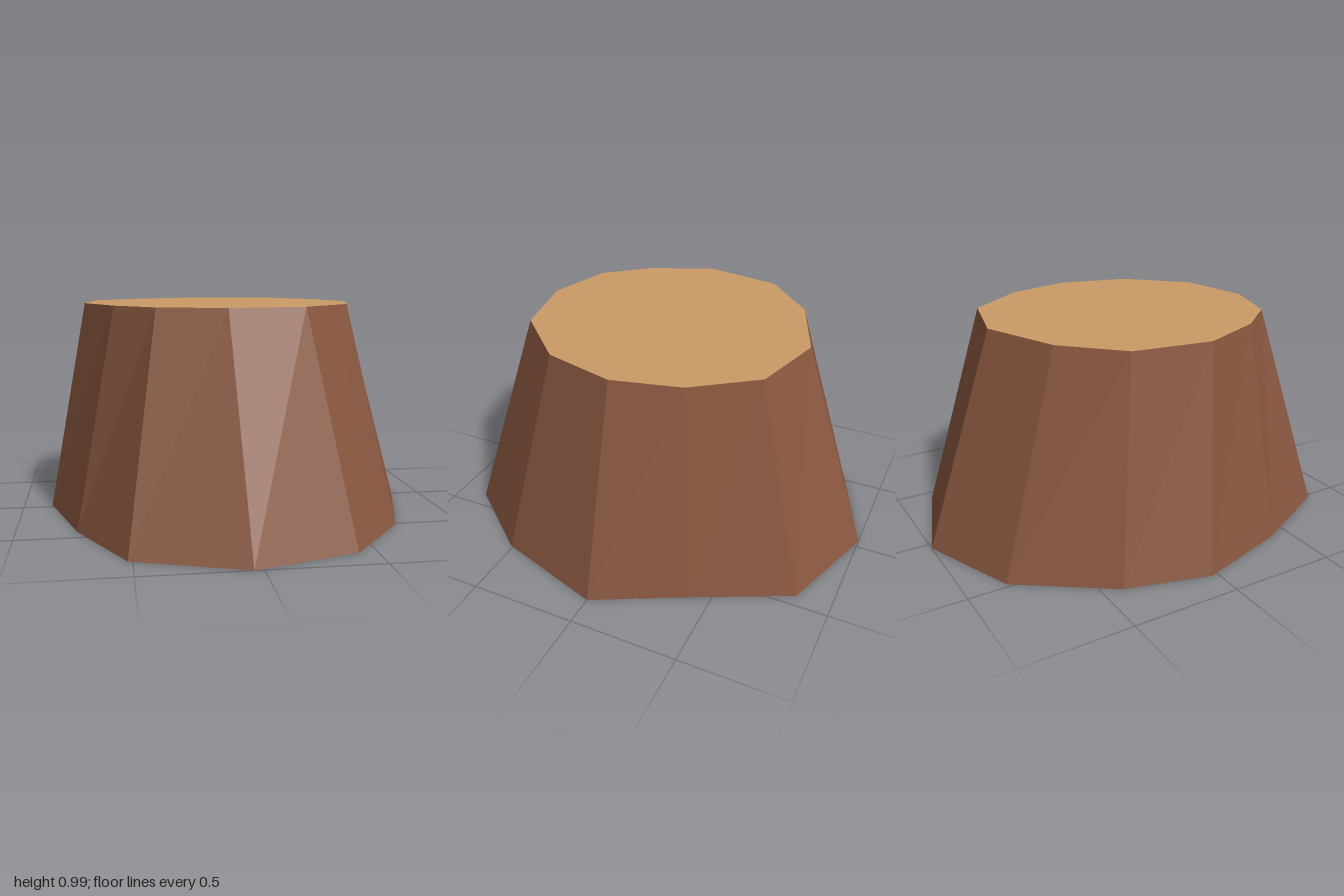
import * as THREE from 'three';

const HEIGHT = 0.99;

// Matching [x, z] corners of the lower and upper rims, from the back round by +x
const lowerRim = [
  [-0.04, -1], [0.44, -0.84], [0.65, -0.41], [0.86, 0], [0.7, 0.51], [0.42, 0.86],
  [-0.04, 1], [-0.52, 0.83], [-0.73, 0.42], [-0.865, -0.03], [-0.76, -0.41], [-0.48, -0.82],
];
const upperRim = [
  [-0.04, -0.67], [0.31, -0.58], [0.51, -0.31], [0.585, 0], [0.5, 0.33], [0.25, 0.59],
  [-0.09, 0.655], [-0.38, 0.56], [-0.55, 0.36], [-0.68, 0.06], [-0.63, -0.3], [-0.4, -0.53],
];

const bark = new THREE.MeshStandardMaterial({ color: 0x8a5840 });
bark.name = 'bark brown';
const wood = new THREE.MeshStandardMaterial({ color: 0xcb9a66 });
wood.name = 'cut wood tan';

// Unindexed triangles give flat facets
function makeMesh(name, points, material) {
  const geometry = new THREE.BufferGeometry().setFromPoints(points);
  geometry.computeVertexNormals();
  const mesh = new THREE.Mesh(geometry, material);
  mesh.name = name;
  return mesh;
}

// Fan over a run of rim corners, facing up or down
function makeCap(name, corners, up, material) {
  const points = [];
  for (let i = 1; i < corners.length - 1; i++) {
    const a = corners[i], b = corners[i + 1];
    points.push(corners[0], ...(up ? [b, a] : [a, b]));
  }
  return makeMesh(name, points, material);
}

export function createModel() {
  const stump = new THREE.Group();
  stump.name = 'treeStump';

  const low = lowerRim.map(([x, z]) => new THREE.Vector3(x, 0, z));
  const high = upperRim.map(([x, z]) => new THREE.Vector3(x, HEIGHT, z));

  // Tapered, faceted trunk
  const sides = [];
  low.forEach((p, i) => {
    const j = (i + 1) % low.length;
    sides.push(low[j], p, high[i], low[j], high[i], high[j]);
  });
  stump.add(makeMesh('trunkBark', sides, bark));

  // Cut top
  stump.add(makeCap('cutTop', high, true, wood));

  // Underside, half bare wood and half bark
  stump.add(makeCap('undersideWood', low.slice(0, 7), false, wood));
  stump.add(makeCap('undersideBark', [...low.slice(6), low[0]], false, bark));

  return stump;
}
